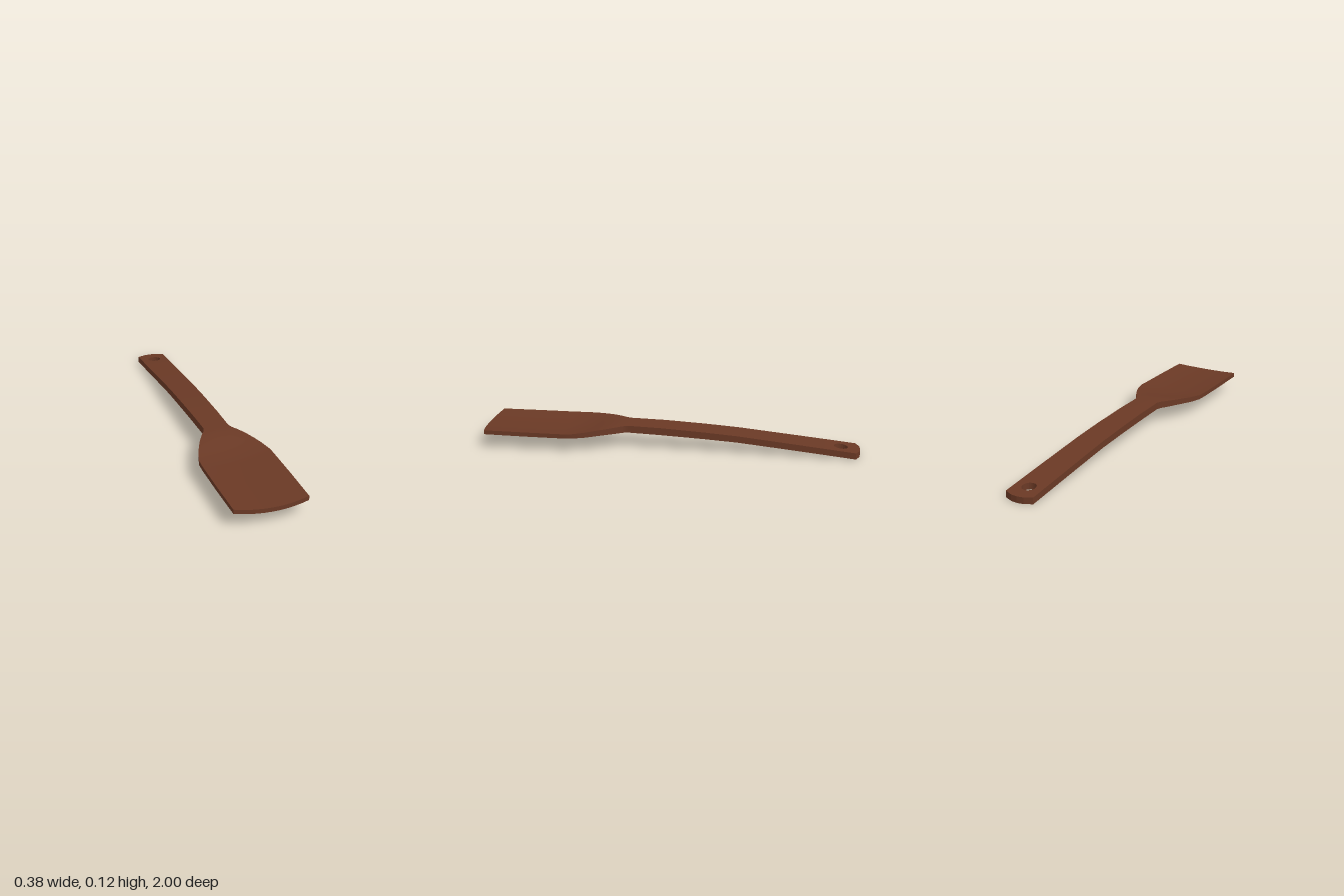
import * as THREE from 'three';
import { mergeGeometries } from 'three/addons/utils/BufferGeometryUtils.js';

// Cross-sections along z: [z, half width, top middle, top edge, bottom middle, bottom edge]
const sections = [
  [-0.82, 0.076, 0.0525, 0.0525, 0.019, 0.019],
  [-0.60, 0.074, 0.074, 0.074, 0.040, 0.040],
  [-0.36, 0.072, 0.097, 0.097, 0.062, 0.062],
  [-0.18, 0.071, 0.109, 0.109, 0.072, 0.072],
  [0.04, 0.069, 0.120, 0.120, 0.081, 0.081],
  [0.22, 0.067, 0.125, 0.124, 0.085, 0.086],
  [0.25, 0.078, 0.125, 0.123, 0.084, 0.087],
  [0.28, 0.098, 0.124, 0.122, 0.083, 0.087],
  [0.33, 0.125, 0.119, 0.119, 0.079, 0.087],
  [0.38, 0.147, 0.109, 0.115, 0.074, 0.085],
  [0.43, 0.167, 0.099, 0.110, 0.070, 0.082],
  [0.50, 0.187, 0.092, 0.104, 0.066, 0.080],
  [0.56, 0.189, 0.090, 0.102, 0.064, 0.079],
  [0.75, 0.189, 0.090, 0.102, 0.065, 0.079],
  [0.975, 0.186, 0.090, 0.102, 0.068, 0.080],
];
const COLS = 8;
const last = sections.length - 1;

// Point on a section: u runs -1..1 across, side 0 is the bottom and 1 the top
function pointAt(i, u, side) {
  const [z, w, topMid, topEdge, lowMid, lowEdge] = sections[i];
  const k = u * u;
  const y = side ? topMid + (topEdge - topMid) * k : lowMid + (lowEdge - lowMid) * k;
  const tip = i === last ? 0.022 * (1 - k) : 0; // gently curved front edge
  return [u * w, y, z + tip];
}

// Smooth patch of quads; (direction of i) x (direction of j) points outward
function patch(ni, nj, fn) {
  const pos = [], index = [];
  for (let i = 0; i <= ni; i++) for (let j = 0; j <= nj; j++) pos.push(...fn(i, j));
  for (let i = 0; i < ni; i++) for (let j = 0; j < nj; j++) {
    const a = i * (nj + 1) + j, b = a + nj + 1;
    index.push(a, b, a + 1, b, b + 1, a + 1);
  }
  const g = new THREE.BufferGeometry();
  g.setAttribute('position', new THREE.Float32BufferAttribute(pos, 3));
  g.setIndex(index);
  g.computeVertexNormals();
  return g;
}

// Handle end: rounded plate with a hanging hole, sheared to the handle's slope
function handleEnd() {
  const shape = new THREE.Shape();
  shape.moveTo(-0.076, 0.82);
  shape.lineTo(0.076, 0.82);
  shape.lineTo(0.077, 0.978);
  shape.lineTo(0.035, 0.996);
  shape.lineTo(0, 1);
  shape.lineTo(-0.035, 0.996);
  shape.lineTo(-0.077, 0.978);
  shape.closePath();
  const hole = new THREE.Path();
  hole.absarc(0, 0.9, 0.036, 0, Math.PI * 2, true);
  shape.holes.push(hole);
  const g = new THREE.ExtrudeGeometry(shape, { depth: 0.0335, bevelEnabled: false, curveSegments: 10 });
  g.rotateX(-Math.PI / 2);
  const p = g.attributes.position;
  for (let i = 0; i < p.count; i++) p.setY(i, p.getY(i) + 0.019 + 0.1 * (p.getZ(i) + 0.82));
  g.computeVertexNormals();
  return g;
}

export function createModel() {
  const wood = new THREE.MeshStandardMaterial({ color: 0x6a3925 });
  wood.name = 'dark wood';
  const group = new THREE.Group();
  group.name = 'spatula';
  const add = (name, geometry) => {
    const mesh = new THREE.Mesh(geometry, wood);
    mesh.name = name;
    group.add(mesh);
  };

  const across = (j) => (2 * j) / COLS - 1;
  add('bladeAndHandle', mergeGeometries([
    patch(last, COLS, (i, j) => pointAt(i, across(j), 1)), // top
    patch(last, COLS, (i, j) => pointAt(i, -across(j), 0)), // underside
    patch(last, 1, (i, j) => pointAt(i, 1, 1 - j)), // left edge
    patch(last, 1, (i, j) => pointAt(i, -1, j)), // right edge
    patch(COLS, 1, (i, j) => pointAt(last, across(i), j)), // front edge
  ]));
  add('handleEnd', handleEnd());
  return group;
}
